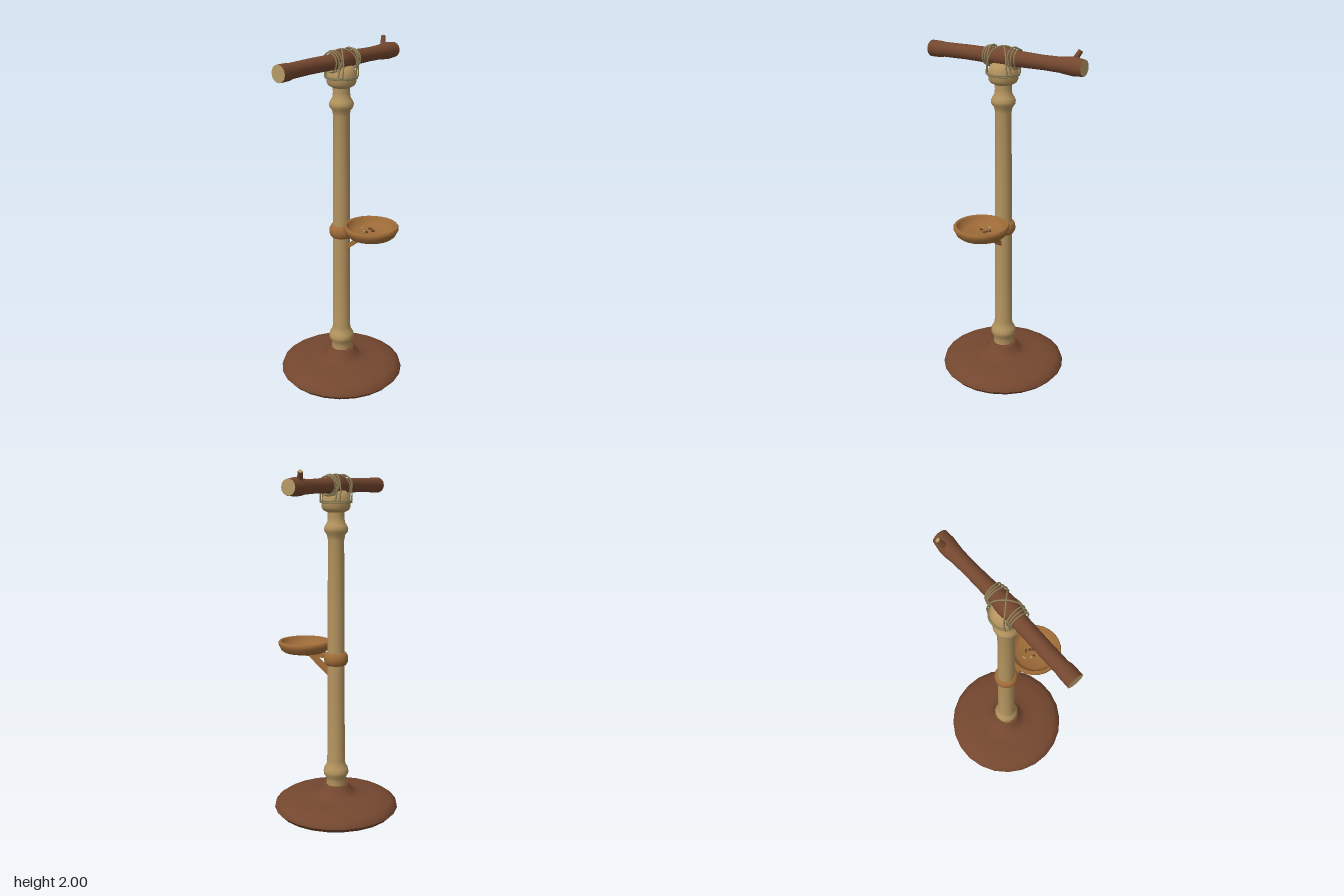
import * as THREE from 'three';
import { toCreasedNormals } from 'three/addons/utils/BufferGeometryUtils.js';

const mat = (name, color) => {
  const m = new THREE.MeshStandardMaterial({ color });
  m.name = name;
  return m;
};

export function createModel() {
  const brown = mat('brown wood', 0x74472f);
  const tan = mat('pale wood', 0xb4945f);
  const honey = mat('honey wood', 0x9e6b38);
  const cordMat = mat('cord', 0x8e8058);
  const seedMat = mat('dark seed', 0x6a4128);
  const cutMat = mat('cut wood', 0xb59a66);

  const model = new THREE.Group();
  model.name = 'perchStand';
  const add = (name, geo, material, parent = model) => {
    const mesh = new THREE.Mesh(geo, material);
    mesh.name = name;
    parent.add(mesh);
    return mesh;
  };
  // Profiles are [radius, height] pairs from bottom to top
  const lathe = (pts, sides, turn = 0) => toCreasedNormals(
    new THREE.LatheGeometry(pts.map(p => new THREE.Vector2(...p)), sides, turn), 0.75);
  const group = (name) => {
    const g = new THREE.Group();
    g.name = name;
    model.add(g);
    return g;
  };
  const V = (x, y, z) => new THREE.Vector3(x, y, z);

  // Round foot
  add('base', lathe([[0, 0.005], [0.3, 0.005], [0.345, 0.015], [0.367, 0.04], [0.36, 0.062],
    [0.33, 0.082], [0.27, 0.098], [0.2, 0.106], [0.13, 0.113], [0.1, 0.13], [0.085, 0.16],
    [0.075, 0.172], [0, 0.174]], 24, Math.PI / 24), brown);

  // Turned post with beads at both ends
  add('post', lathe([[0.058, 0.16], [0.057, 0.2], [0.062, 0.222], [0.073, 0.238], [0.075, 0.255],
    [0.07, 0.275], [0.058, 0.292], [0.053, 0.32], [0.051, 0.7], [0.049, 1.2], [0.046, 1.62],
    [0.052, 1.65], [0.066, 1.668], [0.069, 1.685], [0.062, 1.703], [0.05, 1.72], [0.047, 1.75],
    [0.049, 1.79]], 16), tan);

  // Head that carries the perch
  add('head', lathe([[0, 1.775], [0.05, 1.775], [0.072, 1.787], [0.08, 1.8], [0.083, 1.83],
    [0.08, 1.858], [0.07, 1.877], [0.055, 1.892], [0, 1.9]], 20), tan);

  // Perch branch: sections are [x, centre y, centre z, radius]
  const sections = [[-0.49, 1.918, 0, 0.046], [-0.42, 1.918, 0, 0.045], [-0.4, 1.919, -0.002, 0.041],
    [-0.25, 1.921, -0.004, 0.041], [-0.1, 1.92, -0.003, 0.042], [-0.05, 1.922, 0, 0.048],
    [-0.02, 1.923, 0, 0.055], [0.02, 1.923, 0, 0.055], [0.06, 1.922, 0, 0.048],
    [0.12, 1.921, -0.003, 0.042], [0.25, 1.919, -0.008, 0.039], [0.35, 1.918, -0.012, 0.041],
    [0.39, 1.918, -0.014, 0.046], [0.43, 1.918, -0.013, 0.049], [0.49, 1.917, -0.01, 0.043]];
  const sides = 14;
  const branch = new THREE.CylinderGeometry(1, 1, 1, sides, sections.length - 1, true);
  const pos = branch.attributes.position;
  for (let i = 0; i < pos.count; i++) {
    // Row 0 is the cylinder top, so the rows run from +x to -x
    const row = Math.floor(i / (sides + 1));
    const [x, y, z, r] = sections[sections.length - 1 - row];
    pos.setXYZ(i, x, y - r * pos.getX(i), z + r * pos.getZ(i));
  }
  branch.computeVertexNormals();
  const perch = group('perch');
  add('perchBranch', toCreasedNormals(branch, 0.7), brown, perch);
  for (const [s, [x, y, z, r]] of [[-1, sections[0]], [1, sections.at(-1)]]) {
    const cut = add('perchEnd', new THREE.CircleGeometry(r, sides), cutMat, perch);
    cut.position.set(x, y, z);
    cut.rotation.y = s * Math.PI / 2;
  }

  // Straight rod between two points
  const rod = (name, a, b, r0, r1, material, parent) => {
    const m = add(name, new THREE.CylinderGeometry(r1, r0, a.distanceTo(b), 10), material, parent);
    m.position.copy(a).add(b).multiplyScalar(0.5);
    m.quaternion.setFromUnitVectors(V(0, 1, 0), b.clone().sub(a).normalize());
    return m;
  };
  const twigFoot = V(0.415, 1.94, -0.03), twigTip = V(0.442, 1.994, -0.052);
  rod('twigStub', twigFoot, twigTip, 0.016, 0.013, brown, perch);
  rod('twigCut', twigTip, twigTip.clone().add(V(0.001, 0.002, -0.001)), 0.0125, 0.0125, cutMat, perch);

  // Cord lashings
  const cords = group('lashings');
  const R = 0.0042;
  for (const s of [-1, 1]) {
    for (let k = 0; k < 3; k++) {
      const loop = add('perchWrap', new THREE.TorusGeometry(0.051 + 0.004 * (2 - k), R, 6, 20), cordMat, cords);
      loop.position.set(s * (0.068 + 0.015 * k), 1.921, 0);
      loop.rotation.set(0, Math.PI / 2 + s * 0.07 * (k - 1), 0);
    }
  }
  for (const y of [1.829, 1.836]) {
    const ring = add('headWrap', new THREE.TorusGeometry(0.087, 0.0045, 6, 24), cordMat, cords);
    ring.position.y = y;
    ring.rotation.x = Math.PI / 2;
  }
  // Cords crossing over the perch and tied down to the head
  for (const s of [-1, 1]) {
    const path = new THREE.CatmullRomCurve3([V(-0.068, 1.832, -s * 0.062), V(-0.06, 1.9, -s * 0.064),
      V(-0.042, 1.957, -s * 0.043), V(0, 1.981, 0), V(0.042, 1.957, s * 0.043),
      V(0.06, 1.9, s * 0.064), V(0.068, 1.832, s * 0.062)]);
    add('crossCord', new THREE.TubeGeometry(path, 28, R, 6), cordMat, cords);
  }
  for (const sx of [-1, 1]) for (const sz of [-1, 1]) {
    rod('tieCord', V(sx * 0.078, 1.835, sz * 0.04), V(sx * 0.066, 1.925, sz * 0.054), R, R, cordMat, cords);
  }

  // Collar, arm and brace holding the dish
  const holder = group('dishHolder');
  add('collar', lathe([[0.048, 0.9], [0.058, 0.903], [0.068, 0.918], [0.071, 0.938],
    [0.068, 0.958], [0.058, 0.974], [0.048, 0.977]], 18), honey, holder);
  add('arm', new THREE.BoxGeometry(0.06, 0.022, 0.16), honey, holder).position.set(0, 0.95, 0.13);
  const brace = add('brace', new THREE.BoxGeometry(0.036, 0.024, 0.165), honey, holder);
  brace.position.set(0, 0.892, 0.1);
  brace.rotation.x = -0.66;

  // Food dish
  const dish = group('dish');
  dish.position.z = 0.215;
  add('bowl', lathe([[0, 0.96], [0.125, 0.96], [0.14, 0.972], [0.148, 0.99], [0.154, 1.0],
    [0.155, 1.016], [0.15, 1.023], [0.138, 1.022], [0.132, 1.01], [0.122, 0.99],
    [0.105, 0.98], [0, 0.977]], 24), honey, dish);

  // Seeds: [x, z, turn, material]
  const seeds = [[0.01, -0.07, 0.2, tan], [-0.016, -0.022, 1.5, seedMat], [0.036, -0.034, -0.9, seedMat],
    [0.026, -0.013, 1.0, seedMat], [0.018, 0.001, -0.4, seedMat], [-0.015, -0.035, 1.4, tan]];
  for (const [x, z, turn, material] of seeds) {
    const seed = add('seed', new THREE.SphereGeometry(1, 10, 6), material, dish);
    seed.scale.set(0.013, 0.006, 0.0065);
    seed.position.set(x, 0.983, z);
    seed.rotation.y = turn;
  }
  return model;
}
